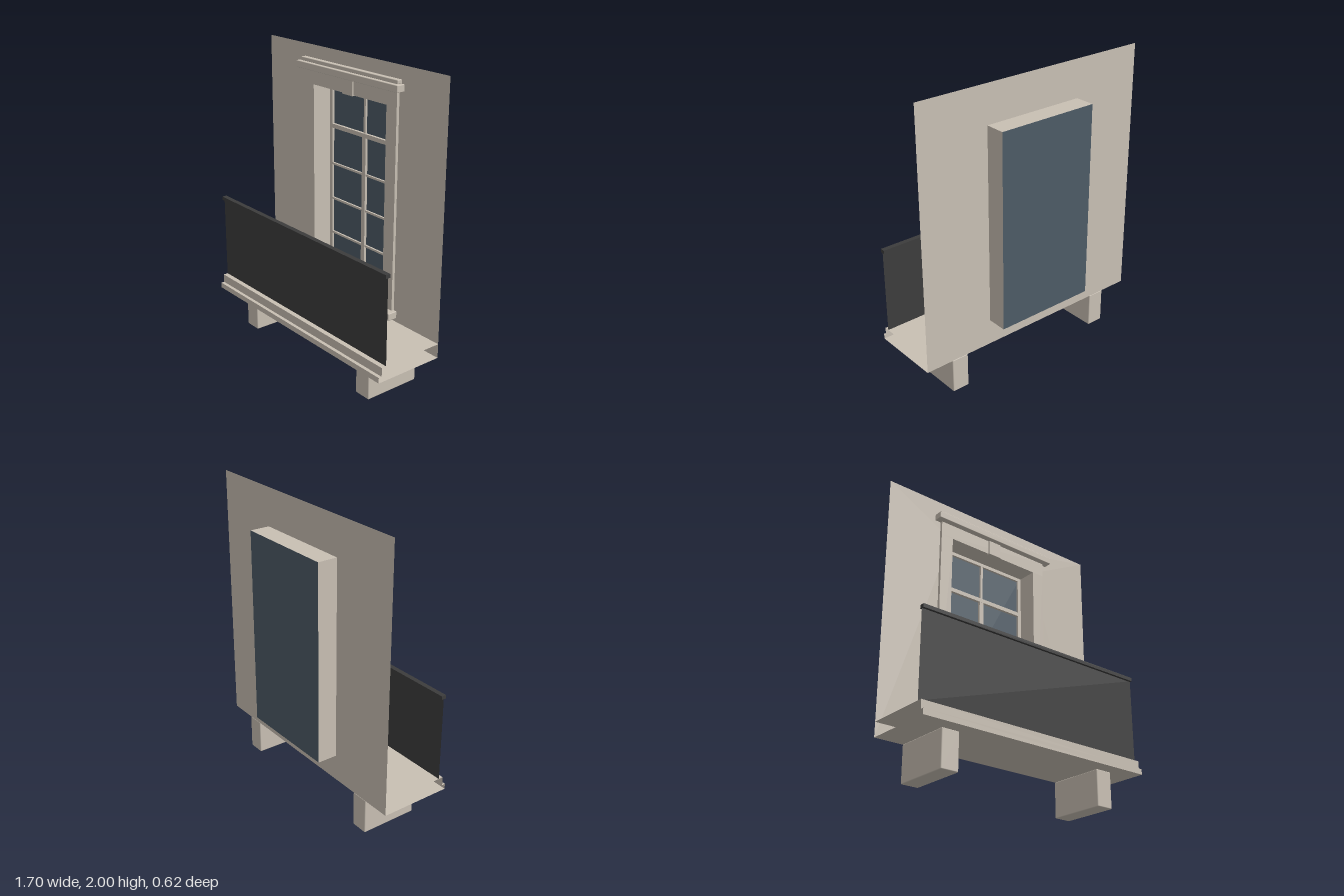
import * as THREE from 'three';
import { RoundedBoxGeometry } from 'three/addons/geometries/RoundedBoxGeometry.js';

const W = 0.85, WALL_Z = -0.175, GLASS_Z = -0.31;
const OPEN = { x: 0.354, y0: 0.415, y1: 1.745 };

export function createModel() {
  const group = new THREE.Group();
  const material = (name, color) => {
    const m = new THREE.MeshStandardMaterial({ color, side: THREE.DoubleSide });
    m.name = name;
    return m;
  };
  const stone = material('stone', 0xc8bfb3);
  const glass = material('glass', 0x4d5b66);
  const iron = material('iron', 0x3c3c3c);

  const add = (name, geometry, mat) => {
    const mesh = new THREE.Mesh(geometry, mat);
    mesh.name = name;
    group.add(mesh);
    return mesh;
  };
  // box given by its limits, with optional softened edges
  const box = (name, mat, x0, x1, y0, y1, z0, z1, r = 0) => {
    const size = [x1 - x0, y1 - y0, z1 - z0];
    const g = r ? new RoundedBoxGeometry(...size, 1, r) : new THREE.BoxGeometry(...size);
    g.translate((x0 + x1) / 2, (y0 + y1) / 2, (z0 + z1) / 2);
    return add(name, g, mat);
  };
  const plane = (name, mat, x, y0, y1, z) => {
    const g = new THREE.PlaneGeometry(2 * x, y1 - y0);
    g.translate(0, (y0 + y1) / 2, z);
    return add(name, g, mat);
  };
  const rect = (x, y0, y1) => [[-x, y0], [x, y0], [x, y1], [-x, y1]].map(p => new THREE.Vector2(...p));
  const framed = (outer, inner) => {
    const s = new THREE.Shape(outer);
    s.holes.push(new THREE.Path(inner));
    return s;
  };
  // open strip joining successive [start, end] point pairs
  const strip = (pairs) => {
    const pos = [];
    for (let i = 0; i < pairs.length - 1; i++) {
      const [a, b] = pairs[i], [c, d] = pairs[i + 1];
      pos.push(...a, ...b, ...d, ...a, ...d, ...c);
    }
    const g = new THREE.BufferGeometry();
    g.setAttribute('position', new THREE.Float32BufferAttribute(pos, 3));
    g.computeVertexNormals();
    return g;
  };

  // wall sheet with the window opening
  const opening = rect(OPEN.x, OPEN.y0, OPEN.y1);
  const wall = new THREE.ShapeGeometry(framed(rect(W, 0.24, 2), opening));
  wall.translate(0, 0, WALL_Z);
  add('wall', wall, stone);

  // recess sides running back to the glass
  const loop = [...opening, opening[0]];
  add('windowReveal', strip(loop.map(p => [[p.x, p.y, GLASS_Z], [p.x, p.y, WALL_Z]])), stone);
  plane('glass', glass, OPEN.x, OPEN.y0, OPEN.y1, GLASS_Z);

  // flat surround: two jambs and a lintel
  for (const s of [-1, 1]) {
    const [a, b] = [s * OPEN.x, s * 0.445].sort((p, q) => p - q);
    box('surroundJamb', stone, a, b, 0.41, OPEN.y1, WALL_Z, -0.155);
  }
  box('surroundLintel', stone, -0.445, 0.445, OPEN.y1, 1.845, WALL_Z, -0.155);

  // keystone, cornice and sill
  box('keystone', stone, -0.05, 0.05, 1.74, 1.845, WALL_Z, -0.144, 0.003);
  box('cornice', stone, -0.488, 0.488, 1.845, 1.89, WALL_Z, -0.115, 0.004);
  box('corniceCap', stone, -0.465, 0.465, 1.89, 1.915, WALL_Z, -0.138, 0.004);
  box('sill', stone, -0.472, 0.472, 0.362, 0.412, WALL_Z, -0.105, 0.004);

  // window frame, transom, mullions and glazing bars
  const back = -0.306, front = -0.29;
  const frame = new THREE.ExtrudeGeometry(
    framed(rect(OPEN.x - 0.001, OPEN.y0 + 0.001, OPEN.y1 - 0.001), rect(0.326, 0.44, 1.72)),
    { depth: front - back, bevelEnabled: false });
  frame.translate(0, 0, back);
  add('windowFrame', frame, stone);
  box('transom', stone, -0.326, 0.326, 1.438, 1.466, back, front + 0.004);
  box('upperMullion', stone, -0.009, 0.009, 1.466, 1.72, back, front - 0.002);
  box('lowerMullion', stone, -0.017, 0.017, 0.44, 1.438, back, front + 0.002);
  for (const y of [1.185, 0.935, 0.685]) {
    box('glazingBar', stone, -0.326, 0.326, y - 0.007, y + 0.007, back, front - 0.003);
  }

  // balcony slab: stepped fascia with open ends
  const profile = [[WALL_Z, 0.335], [0.287, 0.335], [0.287, 0.277], [0.31, 0.277], [0.31, 0.24], [WALL_Z, 0.24]];
  add('balconySlab', strip(profile.map(([z, y]) => [[-W, y, z], [W, y, z]])), stone);

  // supporting brackets
  for (const s of [-1, 1]) {
    box('bracket', stone, s * 0.597 - 0.06, s * 0.597 + 0.06, 0, 0.24, WALL_Z, 0.218, 0.006);
  }

  // railing sheet and handrail
  plane('railingPanel', iron, W, 0.335, 0.905, 0.254);
  box('handrail', iron, -W, W, 0.9, 0.924, 0.238, 0.271);

  return group;
}
